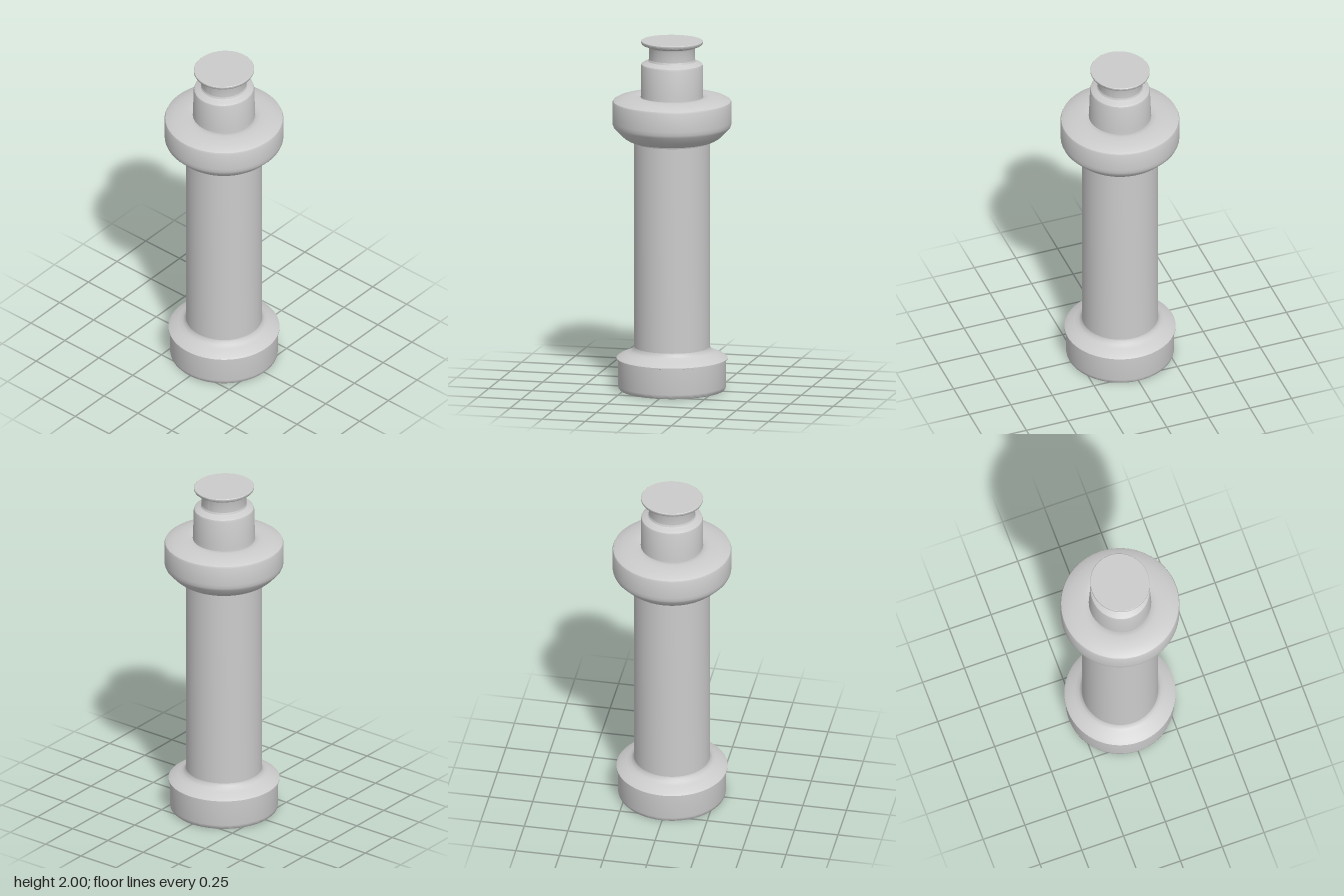
import * as THREE from 'three';
import { toCreasedNormals } from 'three/addons/utils/BufferGeometryUtils.js';

const SEGMENTS = 80;
const material = new THREE.MeshStandardMaterial({ color: 0xcccccc, side: THREE.DoubleSide });

// Turned part from a [radius, height] profile; the top end is slightly oval
function turned(name, profile) {
  const points = profile.map(([r, y]) => new THREE.Vector2(r, y));
  const geometry = new THREE.LatheGeometry(points, SEGMENTS);
  const pos = geometry.attributes.position;
  for (let i = 0; i < pos.count; i++) {
    const t = THREE.MathUtils.clamp((pos.getY(i) - 1.69) / 0.2, 0, 1);
    pos.setZ(i, pos.getZ(i) * (1 - 0.05 * t));
  }
  const mesh = new THREE.Mesh(toCreasedNormals(geometry, 0.6), material);
  mesh.name = name;
  return mesh;
}

export function createModel() {
  const model = new THREE.Group();
  model.name = 'handle';

  model.add(
    // Hollow bore, closed at its upper end
    turned('bore', [[0, 1.42], [0.2, 1.42], [0.2, 0.225], [0.215, 0.205], [0.28, 0.165]]),
    // Open base ring with a thin lip and a sloping shoulder
    turned('base', [
      [0.28, 0.165], [0.28, 0.01], [0.285, 0], [0.295, 0], [0.302, 0.008], [0.305, 0.025],
      [0.305, 0.17], [0.313, 0.172], [0.313, 0.18], [0.295, 0.193], [0.255, 0.209],
      [0.232, 0.22], [0.219, 0.232], [0.215, 0.245],
    ]),
    // Long straight shaft
    turned('shaft', [[0.215, 0.245], [0.215, 1.42]]),
    // Wide collar with a bevelled underside and rounded shoulder
    turned('collar', [
      [0.215, 1.42], [0.218, 1.429], [0.235, 1.431], [0.252, 1.436], [0.27, 1.447],
      [0.29, 1.464], [0.328, 1.505], [0.334, 1.52], [0.335, 1.54], [0.335, 1.645],
      [0.331, 1.655], [0.315, 1.664], [0.28, 1.674], [0.245, 1.681], [0.21, 1.684],
      [0.186, 1.683], [0.176, 1.678],
    ]),
    // Upper sleeve stepping in to the neck
    turned('sleeve', [
      [0.176, 1.678], [0.175, 1.7], [0.175, 1.855], [0.172, 1.866], [0.162, 1.873],
      [0.145, 1.878], [0.134, 1.884], [0.13, 1.895],
    ]),
    // Narrow neck flaring out into the flat cap
    turned('cap', [
      [0.13, 1.895], [0.13, 1.955], [0.134, 1.966], [0.145, 1.972], [0.163, 1.976],
      [0.171, 1.981], [0.175, 1.989], [0.175, 1.997], [0.172, 2], [0, 2],
    ]),
  );
  return model;
}
